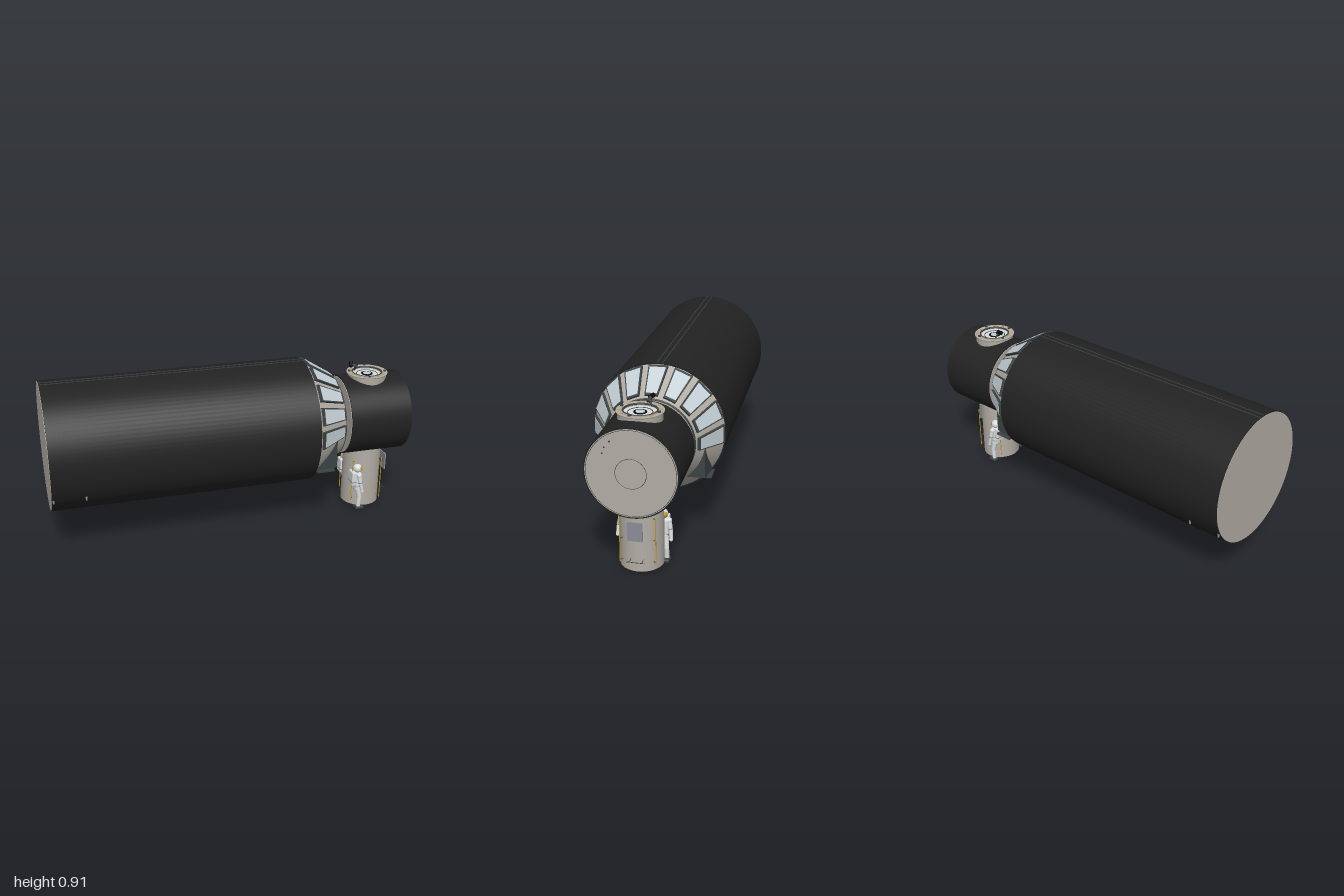
import * as THREE from 'three';
import { RoundedBoxGeometry } from 'three/addons/geometries/RoundedBoxGeometry.js';
import { ConvexGeometry } from 'three/addons/geometries/ConvexGeometry.js';

const mat = (name, color) => new THREE.MeshStandardMaterial({ name, color });
const V = (x, y, z) => new THREE.Vector3(x, y, z);
const AXIS_Y = 0.563; // height of the long axis

export function createModel() {
  const black = mat('black blanket', 0x222222);
  const beige = mat('warm grey shell', 0xb3aea5);
  const dark = mat('dark frame', 0x3d4344);
  const glass = mat('pale glass', 0xc6d2d8);
  const white = mat('suit white', 0xd9dcde);
  const gold = mat('gold', 0xc79a1e);
  const panel = mat('blue grey panel', 0x8b8d97);
  const ink = mat('seam black', 0x0c0c0c);

  const model = new THREE.Group();
  const add = (name, geometry, material, x = 0, y = 0, z = 0, parent = model) => {
    const mesh = new THREE.Mesh(geometry, material);
    mesh.name = name;
    mesh.position.set(x, y, z);
    parent.add(mesh);
    return mesh;
  };
  // cylinder lying along x between two stations
  const barrel = (name, x0, x1, r0, r1, material, open = false, parent = model) => {
    const g = new THREE.CylinderGeometry(r1, r0, x1 - x0, 96, 1, open).rotateZ(-Math.PI / 2);
    return add(name, g, material, (x0 + x1) / 2, AXIS_Y, 0, parent);
  };
  // rod between two points
  const rod = (name, a, b, r, material, parent = model, r2 = r) => {
    const d = b.clone().sub(a);
    const m = add(name, new THREE.CylinderGeometry(r2, r, d.length(), 14), material, 0, 0, 0, parent);
    m.position.copy(a).addScaledVector(d, 0.5);
    m.quaternion.setFromUnitVectors(V(0, 1, 0), d.normalize());
    return m;
  };
  // circle outline facing along x
  const hoop = (name, x, r, tube, material) =>
    add(name, new THREE.TorusGeometry(r, tube, 6, 96).rotateY(Math.PI / 2), material, x, AXIS_Y, 0);

  // main hull
  barrel('mainHull', -0.998, 0.415, 0.342, 0.342, black);
  barrel('rearCap', -1, -0.996, 0.338, 0.338, beige);
  for (const z of [-0.018, 0.012]) add('topRail', new THREE.BoxGeometry(1.41, 0.005, 0.004), dark, -0.292, 0.904, z);
  for (const s of [-1, 1]) {
    add('sideSeam', new THREE.BoxGeometry(1.41, 0.003, 0.003), ink, -0.292, 0.36, s * 0.275);
    for (const x of [-0.99, -0.825]) add('hullClip', new THREE.BoxGeometry(0.008, 0.03, 0.008), panel, x, 0.385, s * 0.292);
  }
  for (const x of [-0.2, -0.035]) {
    add('ventBase', new THREE.CylinderGeometry(0.04, 0.04, 0.02, 32), dark, x, 0.222, 0);
    add('ventCap', new THREE.CylinderGeometry(0.03, 0.03, 0.004, 32), dark, x, 0.211, 0);
  }

  // tapered section
  const X0 = 0.415, X1 = 0.6, R0 = 0.335, R1 = 0.222;
  barrel('cone', X0, X1, R0, R1, beige);
  hoop('coneRim', X1, R1 - 0.004, 0.005, dark);

  // raised trapezoid windows around the upper half of the cone
  const trapezoid = (u0, u1, w0, w1, depth) => {
    const s = new THREE.Shape([[u0, -w0], [u1, -w1], [u1, w1], [u0, w0]].map(p => new THREE.Vector2(...p)));
    return new THREE.ExtrudeGeometry(s, { depth, bevelEnabled: false });
  };
  const frameGeo = trapezoid(0.012, 0.203, 0.049, 0.032, 0.018);
  const glassGeo = trapezoid(0.027, 0.192, 0.041, 0.027, 0.004);
  for (let i = -4; i <= 4; i++) {
    const a = i * Math.PI / 8, c = Math.cos(a), s = Math.sin(a);
    const slope = V(X1 - X0, (R1 - R0) * c, (R1 - R0) * s).normalize();
    const across = V(0, s, -c);
    const out = slope.clone().cross(across);
    const win = new THREE.Group();
    win.name = 'window';
    win.quaternion.setFromRotationMatrix(new THREE.Matrix4().makeBasis(slope, across, out));
    win.position.set(X0, AXIS_Y + R0 * c, R0 * s).addScaledVector(out, -0.008);
    add('windowFrame', frameGeo, dark, 0, 0, 0, win);
    add('windowGlass', glassGeo, glass, 0, 0, 0.016, win);
    model.add(win);
  }

  // wedge fairings under the lowest windows
  for (const s of [-1, 1]) {
    const pts = [V(0.54, 0.525, s * 0.258), V(0.54, 0.362, s * 0.258), V(0.54, 0.362, s * 0.165),
      V(0.42, 0.362, s * 0.275), V(0.42, 0.362, s * 0.24), V(0.47, 0.5, s * 0.255)];
    add('wedgeFairing', new ConvexGeometry(pts), dark);
    add('wedgeFoot', new THREE.BoxGeometry(0.1, 0.008, 0.085), dark, 0.47, 0.358, s * 0.245);
  }

  // neck and node
  barrel('neck', 0.595, 0.64, 0.088, 0.088, dark);
  barrel('node', 0.637, 0.988, 0.223, 0.223, black);
  barrel('nodeCap', 0.985, 0.991, 0.216, 0.216, beige);
  barrel('nodeRearCap', 0.634, 0.638, 0.216, 0.216, beige);
  hoop('nodeCapSeam', 0.991, 0.211, 0.0012, dark);
  hoop('hatchSeam', 0.991, 0.073, 0.0012, dark);
  for (const [y, z] of [[0.685, 0.12], [0.655, 0.13], [0.715, 0.095]])
    add('capFitting', new THREE.BoxGeometry(0.012, 0.006, 0.006), dark, 0.99, y, z);

  // airlock column
  const AX = 0.8;
  add('airlock', new THREE.CylinderGeometry(0.107, 0.107, 0.405, 64), beige, AX, 0.2175, 0);
  add('airlockBase', new THREE.CylinderGeometry(0.1, 0.1, 0.006, 64), dark, AX, 0.013, 0);
  for (const sx of [-1, 1]) for (const sz of [-1, 1]) {
    const x = AX + sx * 0.088, z = sz * 0.088;
    rod('handrail', V(x, 0.048, z), V(x, 0.3, z), 0.0025, gold);
    for (const y of [0.06, 0.175, 0.29]) rod('railBracket', V(x, y, z), V(AX + sx * 0.07, y, sz * 0.07), 0.002, dark);
  }
  add('airlockPanel', new THREE.BoxGeometry(0.006, 0.097, 0.075), panel, 0.937, 0.243, 0);
  add('panelMount', new THREE.BoxGeometry(0.04, 0.02, 0.02), dark, 0.917, 0.243, 0);
  rod('stepBar', V(0.937, 0.079, -0.043), V(0.937, 0.079, 0.043), 0.0018, dark);
  for (const z of [-0.03, 0.03]) rod('stepArm', V(0.937, 0.079, z), V(0.895, 0.079, z), 0.0015, dark);

  // docking collar on top
  const ring = [[0.107, 0.7], [0.107, 0.796], [0.113, 0.798], [0.113, 0.803], [0.084, 0.803], [0.084, 0.788]];
  beige.side = THREE.DoubleSide;
  add('dockingCollar', new THREE.LatheGeometry(ring.map(p => new THREE.Vector2(...p)), 64), beige, AX, 0, 0);
  const disc = (name, r, y, material) => add(name, new THREE.CylinderGeometry(r, r, 0.004, 48), material, AX, y, 0);
  disc('dockingFloor', 0.085, 0.788, white);
  disc('dockingHatchRim', 0.032, 0.791, ink);
  disc('dockingHatch', 0.022, 0.793, glass);
  const flatRing = (name, r, t, y, material) =>
    add(name, new THREE.TorusGeometry(r, t, 8, 64).rotateX(Math.PI / 2), material, AX, y, 0);
  flatRing('dockingSeal', 0.081, 0.005, 0.801, dark);
  flatRing('dockingGuide', 0.058, 0.002, 0.791, dark);
  for (let i = 0; i < 12; i++) {
    const a = (i + 0.5) * Math.PI / 6, r = 0.098;
    const latch = add('dockingLatch', new THREE.BoxGeometry(0.012, 0.008, 0.012), i % 3 ? gold : dark,
      AX + r * Math.cos(a), i % 3 ? 0.8 : 0.808, r * Math.sin(a));
    latch.rotation.y = -a;
  }

  // small camera on a bent arm
  rod('cameraPost', V(0.745, 0.8, -0.045), V(0.74, 0.826, -0.03), 0.004, dark);
  rod('cameraArm', V(0.752, 0.826, -0.025), V(0.715, 0.842, -0.033), 0.008, dark);
  rod('cameraHead', V(0.712, 0.832, -0.024), V(0.722, 0.85, -0.046), 0.011, ink);

  // suited figures beside the airlock, facing +x
  const figure = side => {
    const f = new THREE.Group();
    f.name = 'suitedFigure';
    f.position.set(0.742, 0, side * 0.09);
    f.scale.z = side;
    const ball = (name, r, m, x, y, z) => add(name, new THREE.SphereGeometry(r, 24, 16), m, x, y, z, f);
    add('torso', new RoundedBoxGeometry(0.04, 0.095, 0.062, 3, 0.015), white, 0, 0.185, 0, f);
    add('hips', new RoundedBoxGeometry(0.036, 0.04, 0.052, 3, 0.014), white, 0.002, 0.13, 0, f);
    add('backpack', new RoundedBoxGeometry(0.026, 0.085, 0.058, 2, 0.006), white, -0.028, 0.195, 0, f);
    add('backpackTrim', new THREE.BoxGeometry(0.027, 0.006, 0.059), panel, -0.028, 0.175, 0, f);
    ball('helmet', 0.026, white, 0, 0.252, 0);
    ball('visor', 0.0235, gold, 0.006, 0.253, 0).scale.set(1, 0.9, 1.06);
    for (const s of [-1, 1]) {
      ball('shoulder', 0.015, white, 0, 0.218, s * 0.03);
      rod('upperArm', V(0, 0.218, s * 0.03), V(0.006, 0.17, s * 0.04), 0.013, white, f, 0.011);
      rod('armBand', V(0.005, 0.178, s * 0.0385), V(0.006, 0.172, s * 0.0395), 0.0125, panel, f);
      rod('forearm', V(0.006, 0.17, s * 0.04), V(0.016, 0.128, s * 0.044), 0.011, white, f, 0.009);
      ball('glove', 0.01, white, 0.017, 0.123, s * 0.044);
      rod('thigh', V(0.002, 0.13, s * 0.014), V(0.012, 0.075, s * 0.02), 0.016, white, f, 0.013);
      rod('shin', V(0.012, 0.075, s * 0.02), V(0.008, 0.014, s * 0.021), 0.013, white, f, 0.012);
      add('boot', new RoundedBoxGeometry(0.05, 0.018, 0.032, 2, 0.006), dark, 0.014, 0.009, s * 0.021, f);
    }
    model.add(f);
  };
  figure(1);
  figure(-1);
  return model;
}
